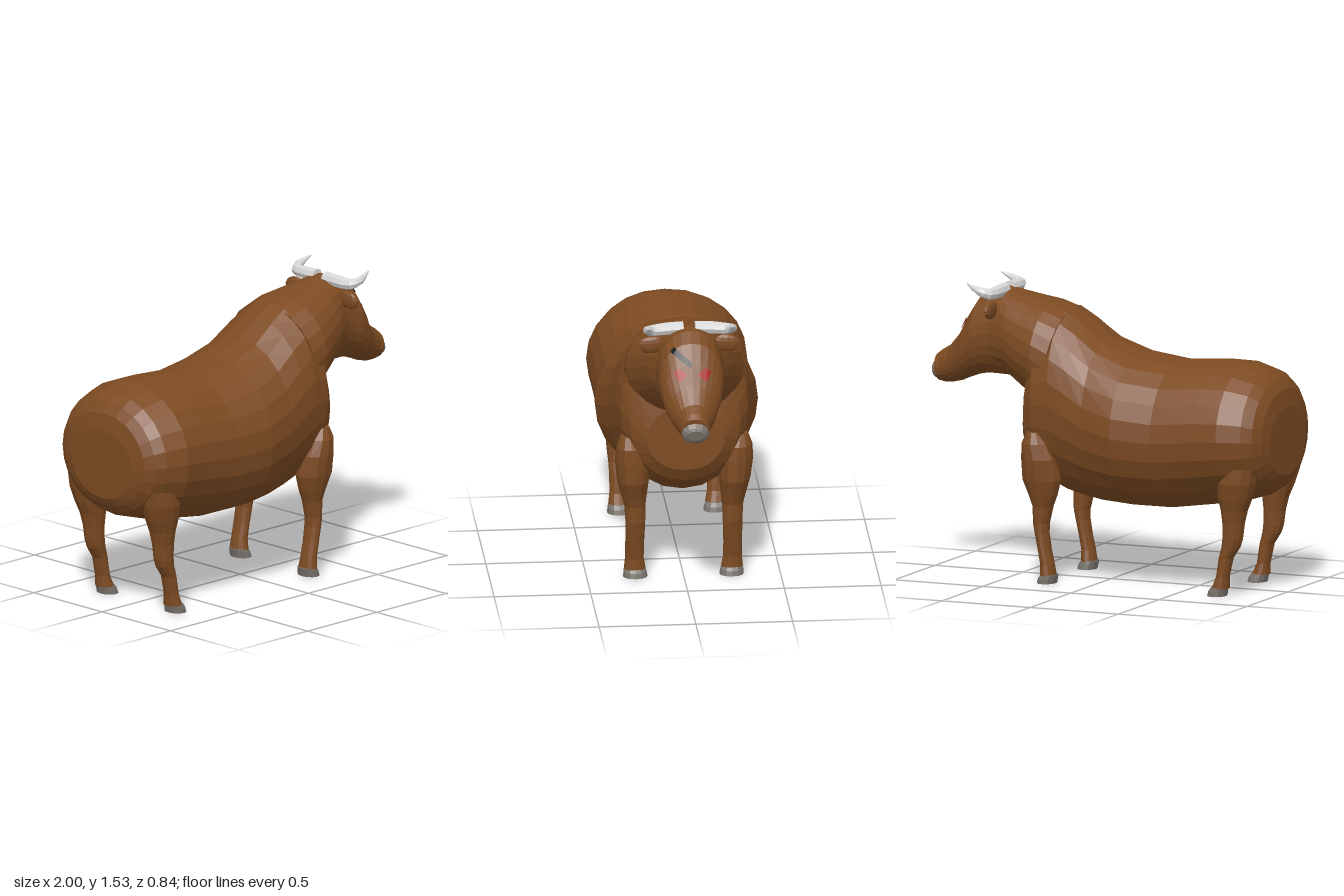
import * as THREE from 'three';

const V = (x, y, z) => new THREE.Vector3(x, y, z);
const mat = (name, color, extra = {}) => {
  const m = new THREE.MeshStandardMaterial({ color, flatShading: true, ...extra });
  m.name = name;
  return m;
};

// Closed skin over a list of rings (each counter-clockwise about the direction of travel)
function loft(rings) {
  const n = rings[0].length, pos = [], idx = [];
  rings.forEach(r => r.forEach(p => pos.push(p.x, p.y, p.z)));
  for (let i = 0; i < rings.length - 1; i++)
    for (let j = 0; j < n; j++) {
      const a = i * n + j, b = i * n + (j + 1) % n;
      idx.push(a, b, b + n, a, b + n, a + n);
    }
  [0, rings.length - 1].forEach((k, e) => {
    const c = rings[k].reduce((s, p) => s.add(p), V(0, 0, 0)).divideScalar(n);
    const ci = pos.length / 3;
    pos.push(c.x, c.y, c.z);
    for (let j = 0; j < n; j++) {
      const a = k * n + j, b = k * n + (j + 1) % n;
      if (e) idx.push(ci, a, b); else idx.push(ci, b, a);
    }
  });
  const g = new THREE.BufferGeometry();
  g.setAttribute('position', new THREE.Float32BufferAttribute(pos, 3));
  g.setIndex(idx);
  g.computeVertexNormals();
  return g;
}

// Elliptical ring spanning a top and a bottom point, with half width w in z
function sliceRing([tx, ty, bx, by, w], n = 24) {
  return Array.from({ length: n }, (_, j) => {
    const a = j / n * Math.PI * 2, t = (1 + Math.cos(a)) / 2, s = Math.sin(a);
    return V(bx + (tx - bx) * t, by + (ty - by) * t, w * Math.sign(s) * Math.abs(s) ** 0.92);
  });
}

// Horizontal ring for legs: height, x range, z range on the given side
function legRing([y, x0, x1, z0, z1], side, n = 12) {
  return Array.from({ length: n }, (_, j) => {
    const a = j / n * Math.PI * 2;
    return V((x0 + x1) / 2 + Math.sin(a) * (x1 - x0) / 2, y,
      side * (z0 + z1) / 2 + Math.cos(a) * (z1 - z0) / 2);
  });
}

// Tapered tube through points [x, y, z, radius]
function taper(points, n = 8) {
  const curve = new THREE.CatmullRomCurve3(points.map(p => V(p[0], p[1], p[2])));
  const steps = (points.length - 1) * 2;
  return loft(Array.from({ length: steps + 1 }, (_, i) => {
    const t = i / steps, k = Math.min(Math.floor(i / 2), points.length - 2);
    const r = THREE.MathUtils.lerp(points[k][3], points[k + 1][3], i / 2 - k);
    const c = curve.getPoint(t), d = curve.getTangent(t);
    const u = V(0, 1, 0).cross(d).normalize(), v = d.clone().cross(u);
    return Array.from({ length: n }, (_, j) => {
      const a = j / n * Math.PI * 2;
      return c.clone().addScaledVector(u, r * Math.cos(a)).addScaledVector(v, r * Math.sin(a));
    });
  }));
}

// Thin patch with four [z, y] corners laid on the face of a mesh, seen from +x
function facePatch(target, [a, b, c, d], lift) {
  const g = new THREE.PlaneGeometry(1, 1, 8, 6), p = g.attributes.position, ray = new THREE.Raycaster();
  for (let i = 0; i < p.count; i++) {
    const s = p.getX(i) + 0.5, t = p.getY(i) + 0.5;
    const mix = k => (a[k] * (1 - s) + b[k] * s) * (1 - t) + (d[k] * (1 - s) + c[k] * s) * t;
    ray.set(V(2, mix(1), mix(0)), V(-1, 0, 0));
    const hit = ray.intersectObject(target)[0];
    p.setXYZ(i, (hit ? hit.point.x : 0.77) + lift, mix(1), mix(0));
  }
  g.computeVertexNormals();
  return g;
}

export function createModel() {
  const group = new THREE.Group();
  const hide = mat('brown hide', 0x7d4b22);
  const hoofGrey = mat('hoof grey', 0x77706a);
  const horn = mat('horn ivory', 0xd6d6d6);
  const red = mat('eye red', 0xa81014, { side: THREE.DoubleSide });
  const black = mat('brow black', 0x0c0c0c, { side: THREE.DoubleSide });
  const add = (name, geometry, material) => {
    const m = new THREE.Mesh(geometry, material);
    m.name = name;
    group.add(m);
    return m;
  };

  // Barrel body with raised shoulders: top x, top y, bottom x, bottom y, half width
  add('body', loft([
    [-1, 0.97, -1, 0.61, 0.22], [-0.985, 1.06, -0.98, 0.57, 0.29], [-0.95, 1.11, -0.95, 0.53, 0.34],
    [-0.9, 1.15, -0.9, 0.5, 0.375], [-0.78, 1.185, -0.78, 0.465, 0.415], [-0.64, 1.188, -0.64, 0.44, 0.41],
    [-0.4, 1.172, -0.4, 0.405, 0.405], [-0.18, 1.2, -0.18, 0.405, 0.422], [0, 1.265, 0, 0.415, 0.385],
    [0.12, 1.355, 0.12, 0.435, 0.365], [0.22, 1.415, 0.2, 0.455, 0.35], [0.32, 1.37, 0.3, 0.5, 0.33],
    [0.37, 1.2, 0.37, 0.56, 0.285], [0.41, 0.98, 0.41, 0.63, 0.2],
  ].map(s => sliceRing(s))), hide);

  // Neck and head
  const head = add('neckAndHead', loft([
    [0.2, 1.4, 0.28, 0.86, 0.31], [0.31, 1.435, 0.35, 0.91, 0.305], [0.41, 1.453, 0.43, 0.955, 0.265],
    [0.51, 1.472, 0.54, 1.03, 0.22], [0.59, 1.492, 0.63, 1.03, 0.175], [0.65, 1.48, 0.69, 1.03, 0.168],
    [0.72, 1.435, 0.74, 1.02, 0.168], [0.78, 1.34, 0.8, 0.998, 0.15], [0.83, 1.245, 0.84, 0.98, 0.125],
    [0.9, 1.165, 0.89, 0.968, 0.092], [0.95, 1.135, 0.93, 0.966, 0.076], [0.978, 1.112, 0.962, 0.972, 0.074],
  ].map(s => sliceRing(s))), hide);
  add('nose', loft([
    [0.977, 1.09, 0.963, 0.978, 0.072], [0.995, 1.07, 0.98, 0.985, 0.064], [1, 1.055, 0.99, 1.0, 0.045],
  ].map(s => sliceRing(s, 12))), hoofGrey);

  // Legs from the hoof up: y, x range, z range
  const frontLeg = [
    [0.04, 0.2, 0.28, 0.195, 0.308], [0.1, 0.21, 0.28, 0.205, 0.302], [0.18, 0.228, 0.295, 0.205, 0.302],
    [0.26, 0.24, 0.312, 0.202, 0.302], [0.31, 0.238, 0.322, 0.2, 0.302], [0.4, 0.215, 0.325, 0.198, 0.308],
    [0.46, 0.19, 0.345, 0.19, 0.325], [0.54, 0.168, 0.378, 0.18, 0.345], [0.65, 0.182, 0.38, 0.18, 0.358],
    [0.73, 0.22, 0.375, 0.2, 0.352], [0.79, 0.26, 0.345, 0.24, 0.33],
  ];
  const backLeg = [
    [0.04, -0.78, -0.69, 0.195, 0.305], [0.1, -0.782, -0.715, 0.208, 0.297], [0.2, -0.805, -0.73, 0.208, 0.297],
    [0.26, -0.845, -0.745, 0.203, 0.3], [0.3, -0.858, -0.75, 0.2, 0.305], [0.38, -0.868, -0.752, 0.195, 0.312],
    [0.45, -0.885, -0.745, 0.185, 0.325], [0.52, -0.915, -0.73, 0.175, 0.345], [0.6, -0.94, -0.73, 0.17, 0.362],
    [0.68, -0.95, -0.77, 0.18, 0.358],
  ];
  for (const [side, label] of [[1, 'left'], [-1, 'right']]) {
    add(label + 'FrontLeg', loft(frontLeg.map(s => legRing(s, side))), hide);
    add(label + 'BackLeg', loft(backLeg.map(s => legRing(s, side))), hide);
    for (const [name, x] of [['FrontHoof', 0.2], ['BackHoof', -0.765]])
      add(label + name, loft([
        [0, x, x + 0.1, 0.185, 0.312], [0.025, x - 0.005, x + 0.093, 0.19, 0.31],
        [0.045, x - 0.01, x + 0.078, 0.197, 0.306],
      ].map(s => legRing(s, side))), hoofGrey);

    // Horns reach sideways, then sweep forward
    add(label + 'Horn', taper([
      [0.588, 1.478, side * 0.03, 0.034], [0.59, 1.474, side * 0.12, 0.034], [0.605, 1.472, side * 0.195, 0.03],
      [0.65, 1.49, side * 0.222, 0.022], [0.72, 1.522, side * 0.21, 0.004],
    ]), horn);

    // Ears
    const ear = add(label + 'Ear', new THREE.SphereGeometry(1, 10, 7), hide);
    ear.scale.set(0.02, 0.047, 0.07);
    ear.position.set(0.592, 1.39, side * 0.195);
    ear.rotation.x = side * 0.1;

    // Eyes
    add(label + 'Eye', facePatch(head,
      [[0.098, 1.302], [0.07, 1.258], [0.027, 1.296], [0.07, 1.326]].map(([z, y]) => [z * side, y]), 0.007), red);
  }

  // Single slanted brow
  add('brow', facePatch(head, [[0.109, 1.395], [0.008, 1.327], [0, 1.352], [0.088, 1.419]], 0.009), black);
  return group;
}
